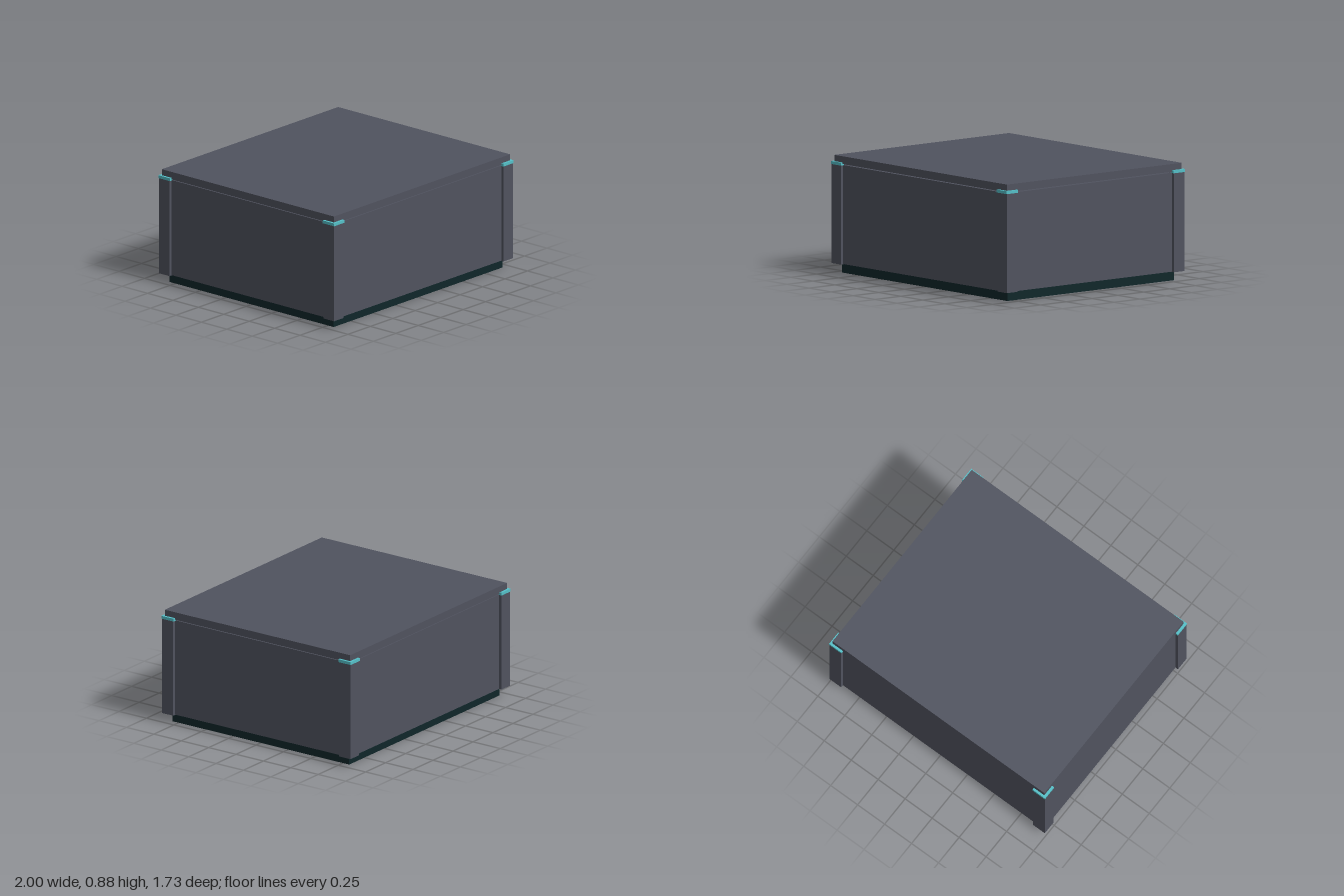
import * as THREE from 'three';

export function createModel() {
  const group = new THREE.Group();
  const material = (name, color) => {
    const m = new THREE.MeshStandardMaterial({ color });
    m.name = name;
    return m;
  };
  const slate = material('slate grey', 0x50535f);
  const dark = material('dark teal', 0x0f2629);
  const teal = material('bright teal', 0x55c0c8);

  // Box given by its lower and upper limits on each axis
  const box = (name, mat, [x0, x1], [y0, y1], [z0, z1], parent = group) => {
    const mesh = new THREE.Mesh(new THREE.BoxGeometry(x1 - x0, y1 - y0, z1 - z0), mat);
    mesh.position.set((x0 + x1) / 2, (y0 + y1) / 2, (z0 + z1) / 2);
    mesh.name = name;
    parent.add(mesh);
    return mesh;
  };

  // Recessed plinth, body panels and lid
  box('plinth', dark, [-0.94, 0.94], [0, 0.072], [-0.807, 0.807]);
  box('body', slate, [-0.975, 0.975], [0.072, 0.81], [-0.84, 0.84]);
  box('lid', slate, [-0.982, 0.982], [0.818, 0.876], [-0.846, 0.846]);

  // Thin spacer rails holding the lid off the body
  for (const z of [-0.4, 0.4]) {
    box('lidSpacer', dark, [-0.89, 0.89], [0.809, 0.819], [z - 0.006, z + 0.006]);
  }

  // Corner posts with L-shaped caps that wrap the lid
  const capShape = new THREE.Shape([
    [1, 0.864], [0.886, 0.864], [0.886, 0.835], [0.97, 0.835], [0.97, 0.752], [1, 0.752],
  ].map(([x, z]) => new THREE.Vector2(x, z)));
  const sideOrder = (sx, sz) => capShape.getPoints().map((p) => new THREE.Vector2(p.x * sx, -p.y * sz));

  for (const sx of [-1, 1]) {
    for (const sz of [-1, 1]) {
      const span = (a, b, s) => (s > 0 ? [a, b] : [-b, -a]);
      box('cornerPost', slate, span(0.89, 0.998, sx), [0.07, 0.811], span(0.757, 0.861, sz));

      const geometry = new THREE.ExtrudeGeometry(new THREE.Shape(sideOrder(sx, sz)), {
        depth: 0.022,
        bevelEnabled: false,
      });
      geometry.rotateX(-Math.PI / 2);
      const cap = new THREE.Mesh(geometry, teal);
      cap.position.y = 0.808;
      cap.name = 'cornerCap';
      group.add(cap);
    }
  }
  return group;
}
